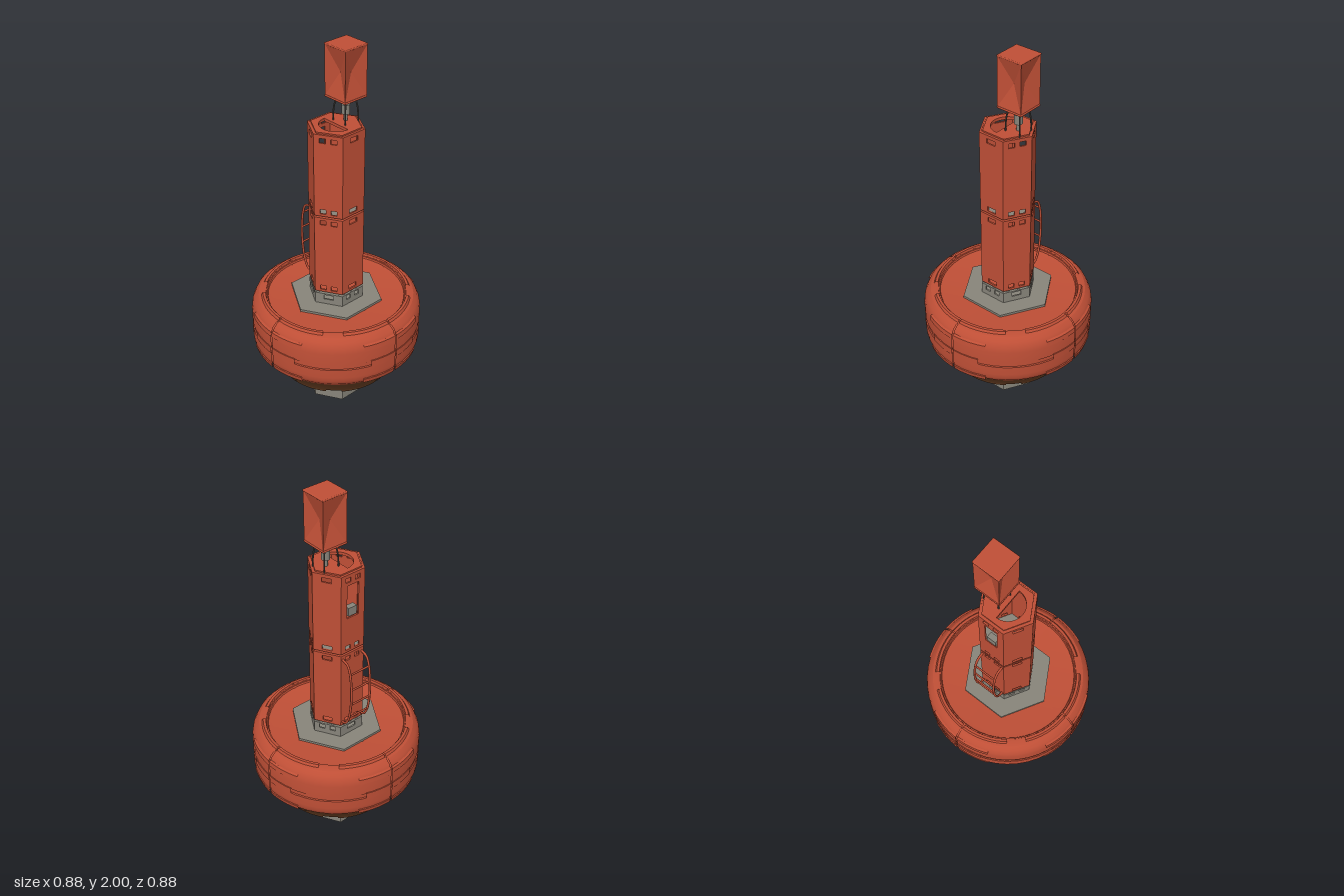
import * as THREE from 'three';
import { toCreasedNormals } from 'three/addons/utils/BufferGeometryUtils.js';
import { RoundedBoxGeometry } from 'three/addons/geometries/RoundedBoxGeometry.js';

const mat = (name, color, side = THREE.FrontSide) => {
  const m = new THREE.MeshStandardMaterial({ color, side });
  m.name = name;
  return m;
};
const red = mat('buoy red', 0xbf4f36);
const gray = mat('warm gray', 0x87847a);
const brown = mat('fouled brown', 0x6b4023);
const dark = mat('dark metal', 0x4a4945);

const TAU = Math.PI * 2;
const RAD = Math.PI / 180;
const HEX_R = 0.143;
const APOTHEM = HEX_R * Math.cos(30 * RAD);

function createModel() {
  const root = new THREE.Group();
  root.name = 'buoy';

  const add = (name, geo, material, parent = root, x = 0, y = 0, z = 0) => {
    const m = new THREE.Mesh(geo, material);
    m.name = name;
    m.position.set(x, y, z);
    parent.add(m);
    return m;
  };
  const group = (name) => {
    const g = new THREE.Group();
    g.name = name;
    root.add(g);
    return g;
  };
  // Hexagonal prism between two heights, with corners at +z and -z
  const hexPrism = (r, y0, y1) =>
    toCreasedNormals(new THREE.CylinderGeometry(r, r, y1 - y0, 6).translate(0, (y0 + y1) / 2, 0), 0.5);
  // Part of a turned shape, angles in degrees from +z towards +x
  const turned = (pts, from = 0, span = 360, segs = 48) =>
    toCreasedNormals(new THREE.LatheGeometry(pts.map((p) => new THREE.Vector2(...p)), segs, from * RAD, span * RAD), 0.45);

  // Float: four moulded quarters over a slightly smaller core that fills the seams
  const hull = [[0.372, 0.335], [0.395, 0.362], [0.425, 0.392], [0.435, 0.415], [0.437, 0.44],
    [0.437, 0.488], [0.432, 0.492], [0.432, 0.513], [0.437, 0.517], [0.437, 0.585],
    [0.433, 0.612], [0.42, 0.64], [0.4, 0.658], [0.375, 0.665], [0.362, 0.664], [0.357, 0.652], [0.33, 0.648], [0, 0.648]];
  const upper = [[0.4, 0.366], ...hull.slice(2)];
  const lower = [[0, 0.247], [0.275, 0.247], [0.308, 0.25], [0.318, 0.265], [0.342, 0.298], ...hull.slice(0, 1), [0.4, 0.366]];
  const inset = (pts) => pts.map(([r, y]) => [Math.max(0, r - 0.007), y + (y > 0.5 ? -0.004 : 0.004)]);
  const float = group('float');
  add('floatCoreUpper', turned(inset(upper)), red, float);
  add('floatCoreLower', turned(inset(lower)), brown, float);
  for (let i = 0; i < 4; i++) {
    const a = i * 90;
    add('floatQuarterUpper', turned(upper, a + 0.5, 89, 12), red, float);
    add('floatQuarterLower', turned(lower, a + 0.3, 89.4, 12), brown, float);
    // Raised pads and rim lips, centred on each seam and split by it
    for (const s of [0.5, -0.5]) {
      const arc = (span) => [a + (s > 0 ? s : s - span), span, 8];
      add('upperPad', turned([[0.43, 0.588], [0.44, 0.592], [0.437, 0.618], [0.425, 0.625]], ...arc(24)), red, float);
      add('middlePad', turned([[0.43, 0.48], [0.44, 0.484], [0.44, 0.522], [0.43, 0.526]], ...arc(19)), red, float);
      add('lowerPad', turned([[0.415, 0.386], [0.432, 0.389], [0.439, 0.416], [0.43, 0.422]], ...arc(24)), red, float);
      add('rimLip', turned([[0.39, 0.655], [0.378, 0.674], [0.364, 0.674], [0.359, 0.648]], ...arc(37)), red, float);
      add('lowerLip', turned([[0.27, 0.25], [0.278, 0.236], [0.302, 0.236], [0.312, 0.255]], ...arc(37)), brown, float);
    }
  }

  // Keel, clamping plates and mooring eye
  const keel = group('keel');
  add('keelBody', hexPrism(0.152, 0.05, 0.26), gray, keel);
  add('lowerPlate', hexPrism(0.243, 0.236, 0.25), gray, keel);
  add('upperPlate', hexPrism(0.243, 0.64, 0.66), gray, keel);
  add('mooringEye', new THREE.TorusGeometry(0.025, 0.008, 10, 32), gray, keel, 0, 0.033, 0);

  // Hexagonal tower section made of six panels pierced by small windows
  const rectHole = (x, y, w, h) => {
    const p = new THREE.Path();
    p.moveTo(x - w / 2, y - h / 2);
    p.lineTo(x - w / 2, y + h / 2);
    p.lineTo(x + w / 2, y + h / 2);
    p.lineTo(x + w / 2, y - h / 2);
    p.closePath();
    return p;
  };
  const section = (name, y0, y1, windowYs, material, flip, hatch) => {
    const g = group(name);
    const t = 0.008;
    for (let i = 0; i < 6; i++) {
      const s = new THREE.Shape();
      const w = HEX_R / 2;
      s.moveTo(-w, y0);
      s.lineTo(w, y0);
      s.lineTo(w, y1);
      s.lineTo(-w, y1);
      s.closePath();
      const double = (i % 2 === 0) !== flip;
      for (const y of windowYs) {
        if (double) s.holes.push(rectHole(-0.028, y, 0.03, 0.024), rectHole(0.028, y, 0.03, 0.024));
        else s.holes.push(rectHole(0, y, 0.05, 0.024));
      }
      if (hatch && i === 4) s.holes.push(rectHole(0, 1.46, 0.07, 0.18));
      const geo = new THREE.ExtrudeGeometry(s, { depth: t, bevelEnabled: false });
      add('panel', geo.translate(0, 0, APOTHEM - t), material, g).rotation.y = (30 + 60 * i) * RAD;
    }
    return g;
  };
  section('towerBase', 0.655, 0.72, [0.7], gray, true);
  const low = section('lowerTower', 0.732, 1.165, [0.757, 1.138], red, false);
  const high = section('upperTower', 1.175, 1.61, [1.2, 1.58], red, false, true);
  add('baseSpacer', new THREE.CylinderGeometry(0.04, 0.04, 0.04, 24), gray, low, 0, 0.722, 0);
  add('baseTop', hexPrism(0.132, 0.712, 0.719), gray, low);
  add('lowerFloor', hexPrism(0.132, 0.733, 0.74), red, low);
  add('lowerCeiling', hexPrism(0.132, 1.156, 1.163), red, low);
  add('towerSpacer', new THREE.CylinderGeometry(0.04, 0.04, 0.03, 24), red, high, 0, 1.17, 0);
  add('upperFloor', hexPrism(0.132, 1.177, 1.184), gray, high);
  add('battery', new THREE.BoxGeometry(0.03, 0.06, 0.06), gray, high, 0, 1.21, 0);
  add('instrument', new THREE.BoxGeometry(0.03, 0.045, 0.05), gray, high, -0.108, 1.4, 0);

  // Tower lid with a half-round opening at the front
  const lid = (r, y, h) => {
    const s = new THREE.Shape();
    for (let i = 0; i < 6; i++) {
      const a = i * 60 * RAD;
      s[i ? 'lineTo' : 'moveTo'](r * Math.sin(a), r * Math.cos(a));
    }
    s.closePath();
    const hole = new THREE.Path();
    hole.absarc(0, 0, 0.082, Math.PI, TAU, false);
    hole.closePath();
    s.holes.push(hole);
    return new THREE.ExtrudeGeometry(s, { depth: h, bevelEnabled: false, curveSegments: 16 })
      .rotateX(-Math.PI / 2).translate(0, y, 0);
  };
  add('lidFlange', lid(0.142, 1.6, 0.008), red, high);
  add('lid', lid(0.126, 1.608, 0.007), red, high);

  // Ladder on the right side
  const ladder = group('ladder');
  for (const z of [-0.06, 0.06]) {
    const path = new THREE.CatmullRomCurve3([[-0.12, 0.752], [-0.147, 0.76], [-0.172, 0.805], [-0.188, 0.9],
      [-0.19, 0.98], [-0.181, 1.075], [-0.16, 1.128], [-0.12, 1.142]].map(([x, y]) => new THREE.Vector3(x, y, z)));
    add('ladderRail', new THREE.TubeGeometry(path, 40, 0.006, 8), red, ladder);
  }
  [[-0.172, 0.81], [-0.187, 0.9], [-0.188, 0.99], [-0.18, 1.08]].forEach(([x, y]) => {
    add('ladderRung', new THREE.CylinderGeometry(0.005, 0.005, 0.12, 8), red, ladder, x, y, 0).rotation.x = Math.PI / 2;
  });

  // Lamp and the four bent rods that carry the reflector
  const top = group('topmark');
  top.position.z = -0.062;
  add('lampBody', new THREE.CylinderGeometry(0.02, 0.02, 0.05, 20), gray, top, 0, 1.675, 0);
  add('lampStem', new THREE.CylinderGeometry(0.01, 0.01, 0.13, 12), gray, top, 0, 1.67, 0);
  add('lampCap', new THREE.CylinderGeometry(0.012, 0.022, 0.012, 20), gray, top, 0, 1.705, 0);
  for (const sx of [-1, 1]) for (const sz of [-1, 1]) {
    const pts = [[0.042, 1.6], [0.041, 1.66], [0.036, 1.705], [0.024, 1.742]];
    const path = new THREE.CatmullRomCurve3(pts.map(([d, y]) => new THREE.Vector3(sx * d, y, sz * d)));
    add('supportRod', new THREE.TubeGeometry(path, 16, 0.004, 8), dark, top);
  }

  // Reflector: flat caps and four sides sunk to a point in the middle
  const W = 0.069, Y0 = 1.74, Y1 = 1.995;
  const corners = [[-W, Y0], [W, Y0], [W, Y1], [-W, Y1]];
  const verts = corners.flatMap((c, i) => {
    const d = corners[(i + 1) % 4];
    return [c[0], c[1], W, d[0], d[1], W, 0, (Y0 + Y1) / 2, W - 0.035];
  });
  const side = new THREE.BufferGeometry();
  side.setAttribute('position', new THREE.Float32BufferAttribute(verts, 3));
  side.computeVertexNormals();
  for (let i = 0; i < 4; i++) add('reflectorSide', side, red, top).rotation.y = i * Math.PI / 2;
  for (const y of [Y0, Y1]) add('reflectorCap', new RoundedBoxGeometry(0.143, 0.01, 0.143, 3, 0.004), red, top, 0, y, 0);

  return root;
}

export { createModel };
